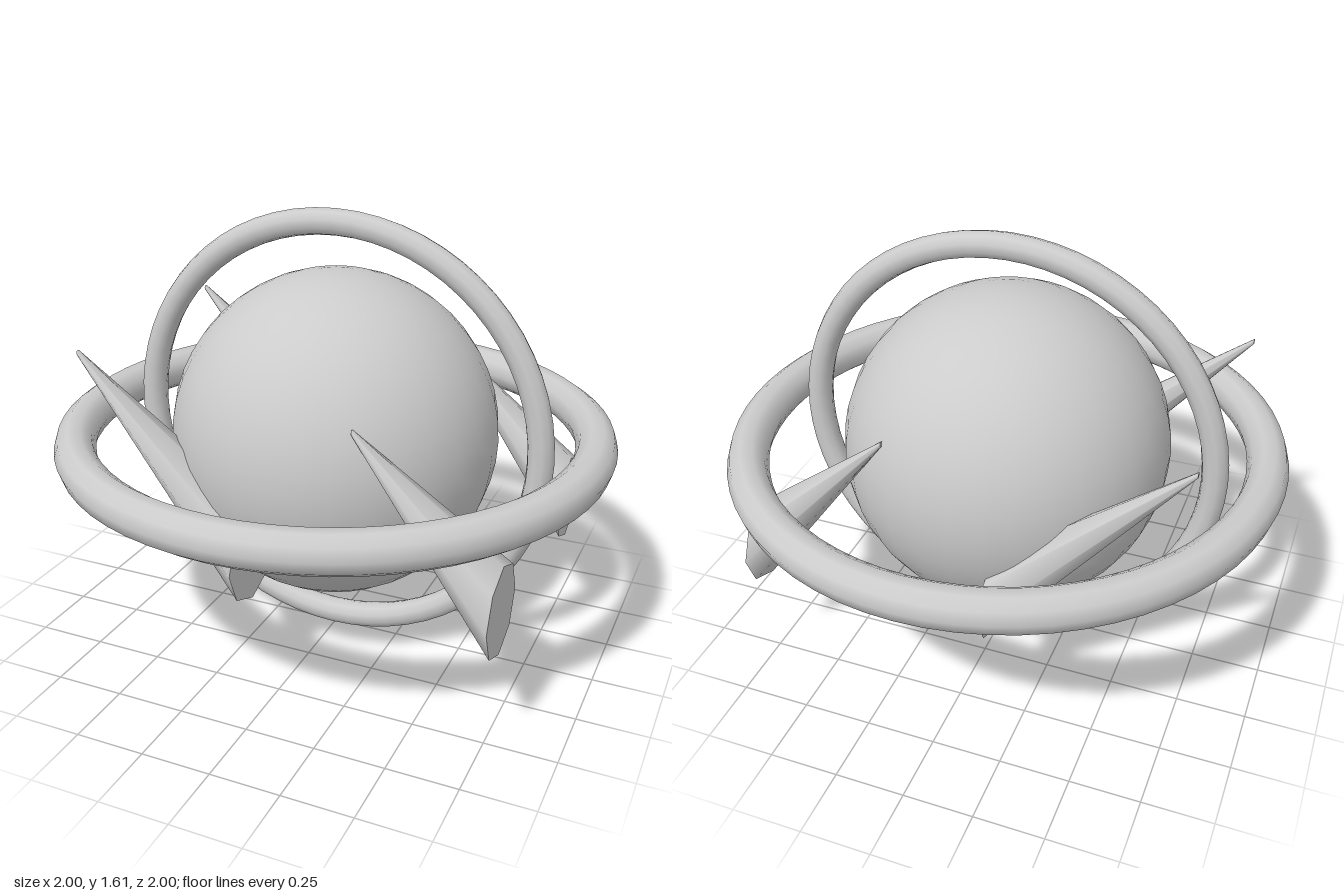
import * as THREE from 'three';

const CENTER_Y = 0.805;

export function createModel() {
  const group = new THREE.Group();
  const material = new THREE.MeshStandardMaterial({ color: 0xcccccc });

  function add(name, geometry) {
    const mesh = new THREE.Mesh(geometry, material);
    mesh.name = name;
    group.add(mesh);
    return mesh;
  }

  // Round body
  add('body', new THREE.SphereGeometry(0.587, 32, 24)).position.y = CENTER_Y;

  // Wide level ring and narrower upright ring around the body
  const levelRing = add('levelRing', new THREE.TorusGeometry(0.927, 0.073, 10, 64));
  levelRing.rotation.x = Math.PI / 2;
  levelRing.position.y = CENTER_Y;
  add('uprightRing', new THREE.TorusGeometry(0.758, 0.047, 10, 64)).position.y = CENTER_Y;

  // Eight-sided spike leaning from its tip to a base that faces +x
  function spike(name, tip, base) {
    const geometry = new THREE.CylinderGeometry(0.01, 0.162, 1, 8).rotateZ(Math.PI / 2);
    const lean = new THREE.Matrix4().makeBasis(
      base.clone().sub(tip),
      new THREE.Vector3(0, 1, 0),
      new THREE.Vector3(0, 0, 1)
    );
    lean.setPosition(tip.clone().add(base).multiplyScalar(0.5));
    add(name, geometry.applyMatrix4(lean));
  }

  // Two spikes on each side, mirrored front to back
  for (const [side, s] of [['front', 1], ['back', -1]]) {
    spike(side + 'RightSpike',
      new THREE.Vector3(-0.775, 1.13, 0.445 * s), new THREE.Vector3(-0.12, 0.48, 0.45 * s));
    spike(side + 'LeftSpike',
      new THREE.Vector3(0.265, 1.02, 0.478 * s), new THREE.Vector3(0.77, 0.48, 0.45 * s));
  }

  return group;
}
